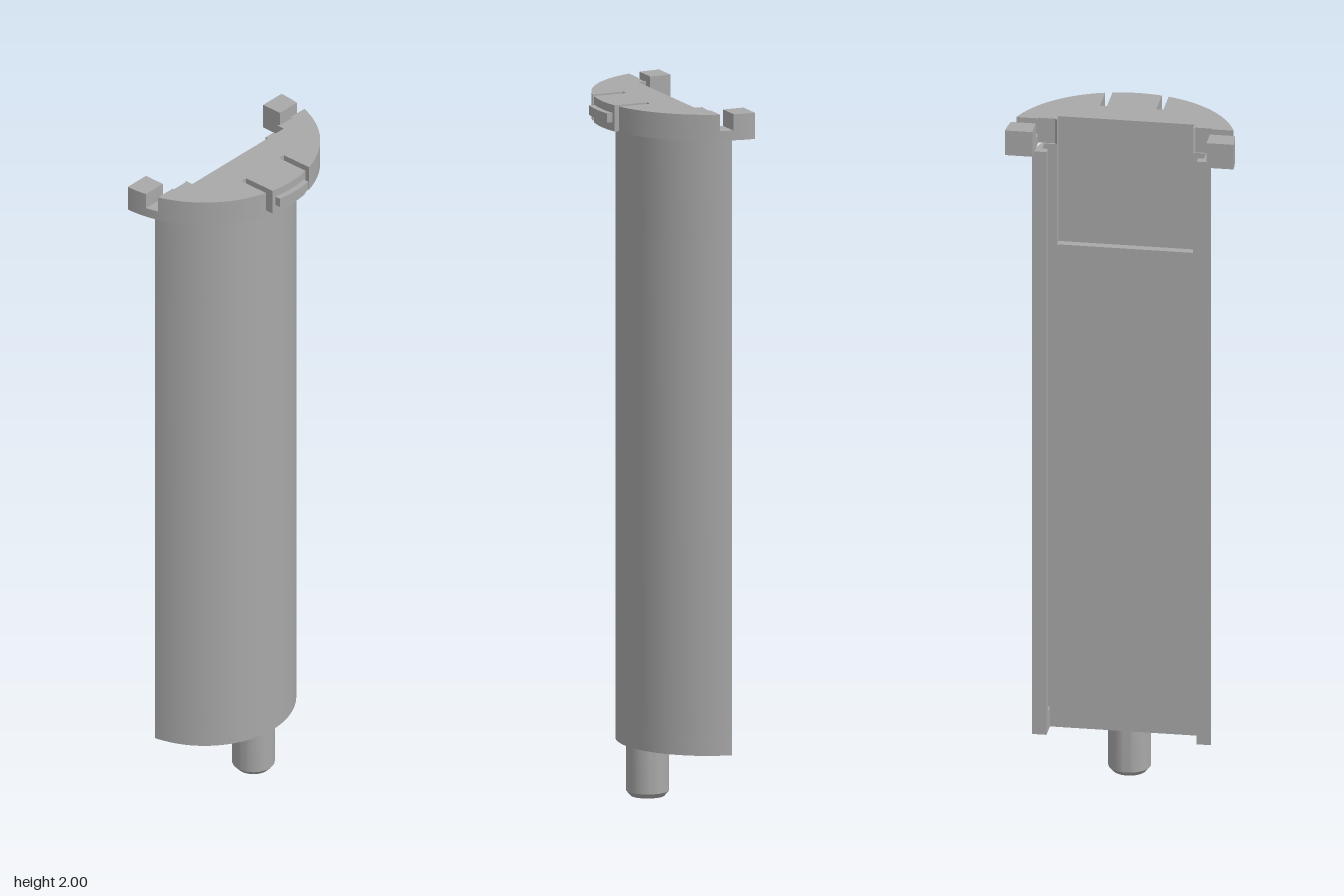
import * as THREE from 'three';
import { toCreasedNormals } from 'three/addons/utils/BufferGeometryUtils.js';

const CENTRE = -0.172; // z of the common axis of all curved walls
const BODY_R = 0.257;
const RIM_R = 0.324;

// Points [x, z] on an arc about the common axis, angle measured from +z
function arc(r, from, to, n) {
  return Array.from({ length: n + 1 }, (_, i) => {
    const t = from + ((to - from) * i) / n;
    return [r * Math.sin(t), CENTRE + r * Math.cos(t)];
  });
}
const angleAtZ = (r, z) => Math.acos((z - CENTRE) / r);
const angleAtX = (r, x) => Math.asin(x / r);

// Completes a half outline (x > 0) with its mirror image
function mirrored(half) {
  const other = half.filter((p) => p[0] > 1e-6).reverse().map(([x, z]) => [-x, z]);
  return half.concat(other);
}

// Vertical prism from a plan outline
function prism(points, y0, y1) {
  const shape = new THREE.Shape(points.map(([x, z]) => new THREE.Vector2(x, -z)));
  const geo = new THREE.ExtrudeGeometry(shape, { depth: y1 - y0, bevelEnabled: false });
  geo.rotateX(-Math.PI / 2);
  geo.translate(0, y0, 0);
  return toCreasedNormals(geo, 0.3);
}

export function createModel() {
  const model = new THREE.Group();
  const grey = new THREE.MeshStandardMaterial({ color: 0xa8a8a8 });
  grey.name = 'grey';
  const add = (name, geo) => {
    const mesh = new THREE.Mesh(geo, grey);
    mesh.name = name;
    model.add(mesh);
  };

  // Body: curved shell with flat back and two side rails
  const bodyArc = arc(BODY_R, angleAtZ(BODY_R, -0.133), 0, 28);
  const foot = [[0.213, -0.072], [0.213, -0.133]];
  const groove = [[0.23, -0.072], [0.23, -0.109], [0.213, -0.109], [0.213, -0.133]];
  const recess = [[0.193, -0.047], [0.193, -0.072]];
  add('bodyFoot', prism(mirrored([...foot, ...bodyArc]), 0.15, 0.21));
  add('body', prism(mirrored([...groove, ...bodyArc]), 0.21, 1.62));
  add('bodyTop', prism(mirrored([...recess, ...groove, ...bodyArc]), 1.62, 1.925));

  // Flange: half disc with front slots and rear arms
  const slotX = angleAtX(RIM_R, 0.09);
  const frontRim = [
    [0.09, 0.045], [0.07, 0.045],
    ...arc(RIM_R, angleAtX(RIM_R, 0.07), 0, 6),
  ];
  const back = [[0.193, -0.047], [0.193, -0.072], [0.2, -0.067], [0.247, -0.067]];
  add('flangeBase', prism(mirrored([
    ...back, [0.247, -0.172], ...arc(RIM_R, Math.PI / 2, slotX, 28), ...frontRim,
  ]), 1.925, 1.953));
  add('flangeTop', prism(mirrored([
    ...back, [0.247, -0.072], ...arc(RIM_R, angleAtZ(RIM_R, -0.072), slotX, 22), ...frontRim,
  ]), 1.953, 2));

  // Arm ends behind the cross notches
  const armEnd = [
    [0.247, -0.109], [0.247, -0.172],
    ...arc(RIM_R, Math.PI / 2, angleAtZ(RIM_R, -0.109), 6),
  ];
  add('leftArmEnd', prism(armEnd, 1.953, 2));
  add('rightArmEnd', prism(armEnd.map(([x, z]) => [-x, z]), 1.953, 2));

  // Latch rib on the front of the rim
  const a = angleAtX(0.341, 0.06);
  add('latchRib', prism([[-0.06, 0.13], [0.06, 0.13], ...arc(0.341, a, -a, 10)], 1.95, 1.977));

  // Peg with chamfered tip
  const pegProfile = [[0, 0], [0.048, 0], [0.06, 0.014], [0.06, 0.16]];
  const peg = new THREE.LatheGeometry(pegProfile.map(([x, y]) => new THREE.Vector2(x, y)), 40);
  peg.translate(0, 0, 0.011);
  add('peg', toCreasedNormals(peg, 0.4));

  return model;
}
